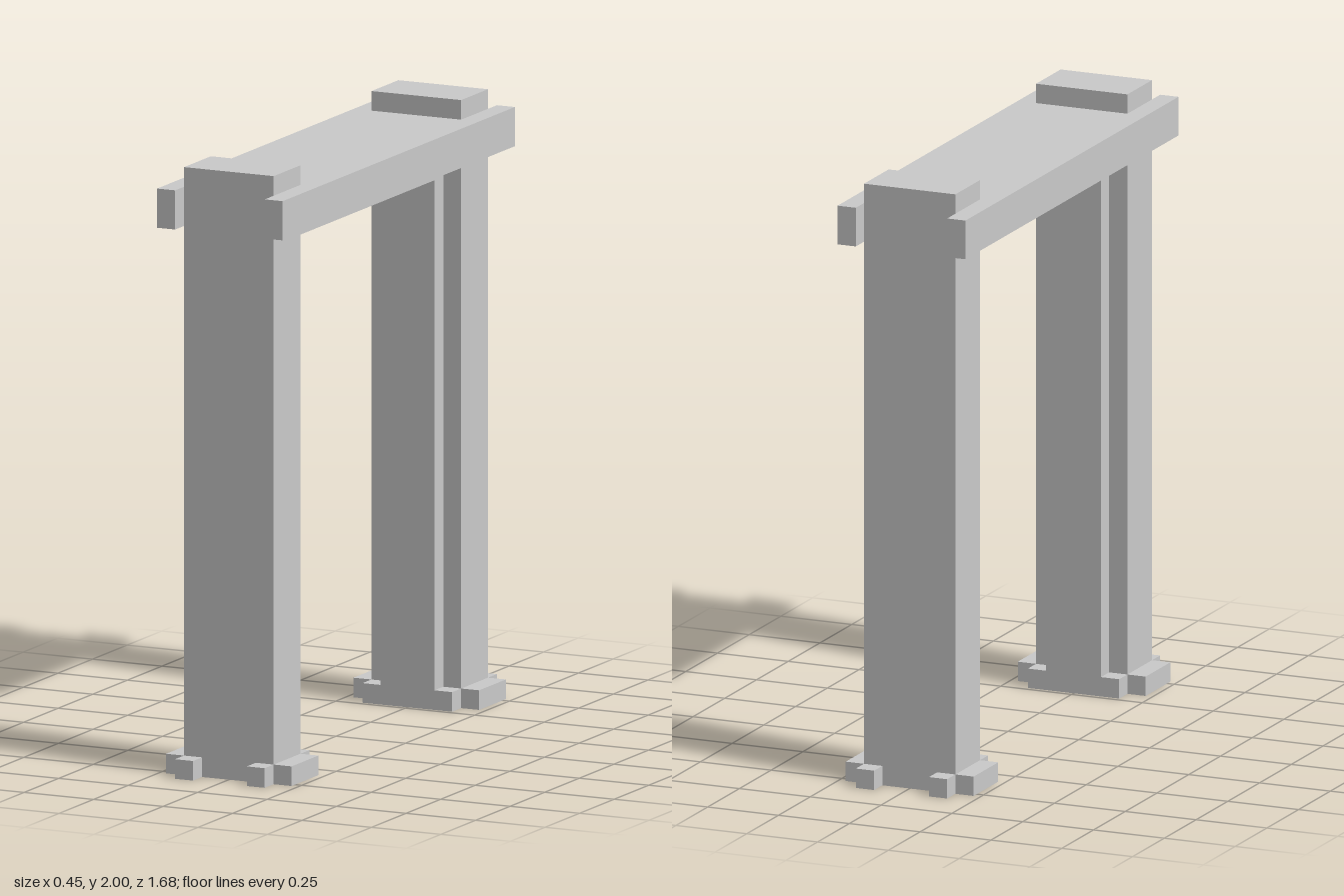
import * as THREE from 'three';

const U = 2 / 31; // one block of the modelling grid
const material = new THREE.MeshStandardMaterial({ color: 0xcccccc, flatShading: true });

// Box given by its extents in blocks
function block(name, [x0, x1], [y0, y1], [z0, z1]) {
  const geometry = new THREE.BoxGeometry((x1 - x0) * U, (y1 - y0) * U, (z1 - z0) * U);
  const mesh = new THREE.Mesh(geometry, material);
  mesh.name = name;
  mesh.position.set((x0 + x1) / 2 * U, (y0 + y1) / 2 * U, (z0 + z1) / 2 * U);
  return mesh;
}

// One upright with its inner jamb and base blocks, on the +z side
function createPillar(name) {
  const pillar = new THREE.Group();
  pillar.name = name;
  pillar.add(
    block('post', [-2.5, 2.5], [0, 31], [9, 12]),
    block('innerJamb', [-1.5, 1.5], [1, 27], [8, 9]),
    block('innerBase', [-2.5, 2.5], [0, 1], [8, 9]),
    block('leftBase', [2.5, 3.5], [0, 1], [9, 12]),
    block('rightBase', [-3.5, -2.5], [0, 1], [9, 12]),
    block('leftToe', [1.5, 2.5], [0, 1], [12, 13]),
    block('rightToe', [-2.5, -1.5], [0, 1], [12, 13])
  );
  return pillar;
}

export function createModel() {
  const gate = new THREE.Group();
  gate.name = 'gateFrame';

  const front = createPillar('frontPillar');
  const back = createPillar('backPillar');
  back.rotation.y = Math.PI;
  gate.add(front, back);

  // Lintel: deck between the posts, side beams running past them, strip below
  const lintel = new THREE.Group();
  lintel.name = 'lintel';
  lintel.add(
    block('deck', [-2.5, 2.5], [28, 30], [-9, 9]),
    block('leftBeam', [2.5, 3.5], [28, 30], [-13, 13]),
    block('rightBeam', [-3.5, -2.5], [28, 30], [-13, 13]),
    block('underStrip', [-1.5, 1.5], [27, 28], [-9, 9])
  );
  gate.add(lintel);
  return gate;
}
